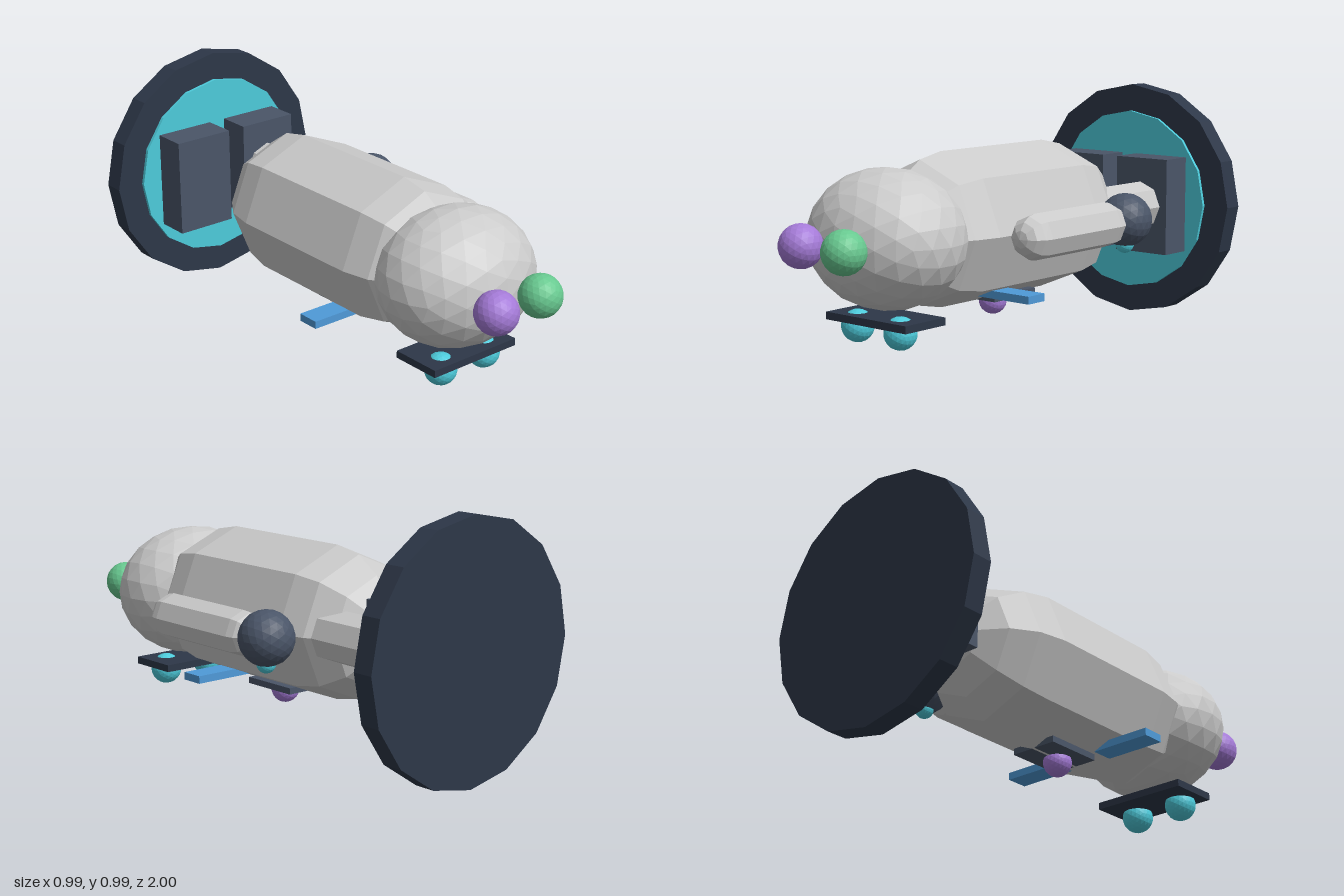
import * as THREE from 'three';

const GREY = 0xcccccc, DARK = 0x2d3748, SLATE = 0x4a5568, CYAN = 0x4dcbdb,
  BLUE = 0x4f9ad8, PURPLE = 0xa57bd8, GREEN = 0x68c990;

export function createModel() {
  const model = new THREE.Group();
  model.name = 'robot';
  const MID = 0.495; // height of the main axis

  function add(name, geometry, color, x, y, z) {
    const material = new THREE.MeshStandardMaterial({ color, flatShading: true });
    const mesh = new THREE.Mesh(geometry, material);
    mesh.name = name;
    mesh.position.set(x, y, z);
    model.add(mesh);
    return mesh;
  }
  const box = (name, color, w, h, d, x, y, z) =>
    add(name, new THREE.BoxGeometry(w, h, d), color, x, y, z);
  const ball = (name, color, r, x, y, z) =>
    add(name, new THREE.IcosahedronGeometry(r, 3), color, x, y, z);
  // Eight-sided capsule and sixteen-sided disc, both lying along z
  const capsule = (name, r, length, x, y, z) =>
    add(name, new THREE.CapsuleGeometry(r, length, 4, 8).rotateX(Math.PI / 2), GREY, x, y, z);
  const disc = (name, color, r, depth, z) =>
    add(name, new THREE.CylinderGeometry(r, r, depth, 16).rotateX(Math.PI / 2), color, 0, MID, z);

  // Base and its glowing plate
  disc('base', DARK, 0.495, 0.084, -0.958);
  disc('basePlate', CYAN, 0.382, 0.014, -0.909);

  // Body and head
  capsule('body', 0.3, 0.6, 0, MID, 0);
  ball('head', GREY, 1, 0, MID, 0.593).scale.set(0.32, 0.265, 0.275);

  // Eyes
  ball('rightEye', PURPLE, 0.083, -0.11, MID, 0.917);
  ball('leftEye', GREEN, 0.083, 0.11, MID, 0.917);

  // Feet and the lamps under the face plate
  for (const [side, s] of [['right', -1], ['left', 1]]) {
    box(side + 'Foot', SLATE, 0.256, 0.4, 0.14, s * 0.165, MID, -0.833);
    ball(side + 'Lamp', CYAN, 0.063, s * 0.11, 0.163, 0.638);
  }
  box('facePlate', DARK, 0.41, 0.029, 0.21, 0, 0.199, 0.605);

  // Chest bar, belly panel and button
  box('chestBar', BLUE, 0.7, 0.03, 0.093, 0, 0.25, 0.153);
  box('bellyPanel', SLATE, 0.2, 0.025, 0.245, 0, 0.21, -0.018);
  ball('bellyButton', PURPLE, 0.056, 0, 0.181, 0);

  // Single leg, arm and hand on the left side
  capsule('leg', 0.1, 0.4, 0.16, MID, -0.6);
  capsule('arm', 0.088, 0.42, 0.388, MID, 0);
  ball('hand', SLATE, 0.106, 0.391, 0.5, -0.345);
  ball('handLight', CYAN, 0.037, 0.391, 0.405, -0.343);

  // Centre the whole model on x
  for (const part of model.children) part.position.x -= 0.004;
  return model;
}
